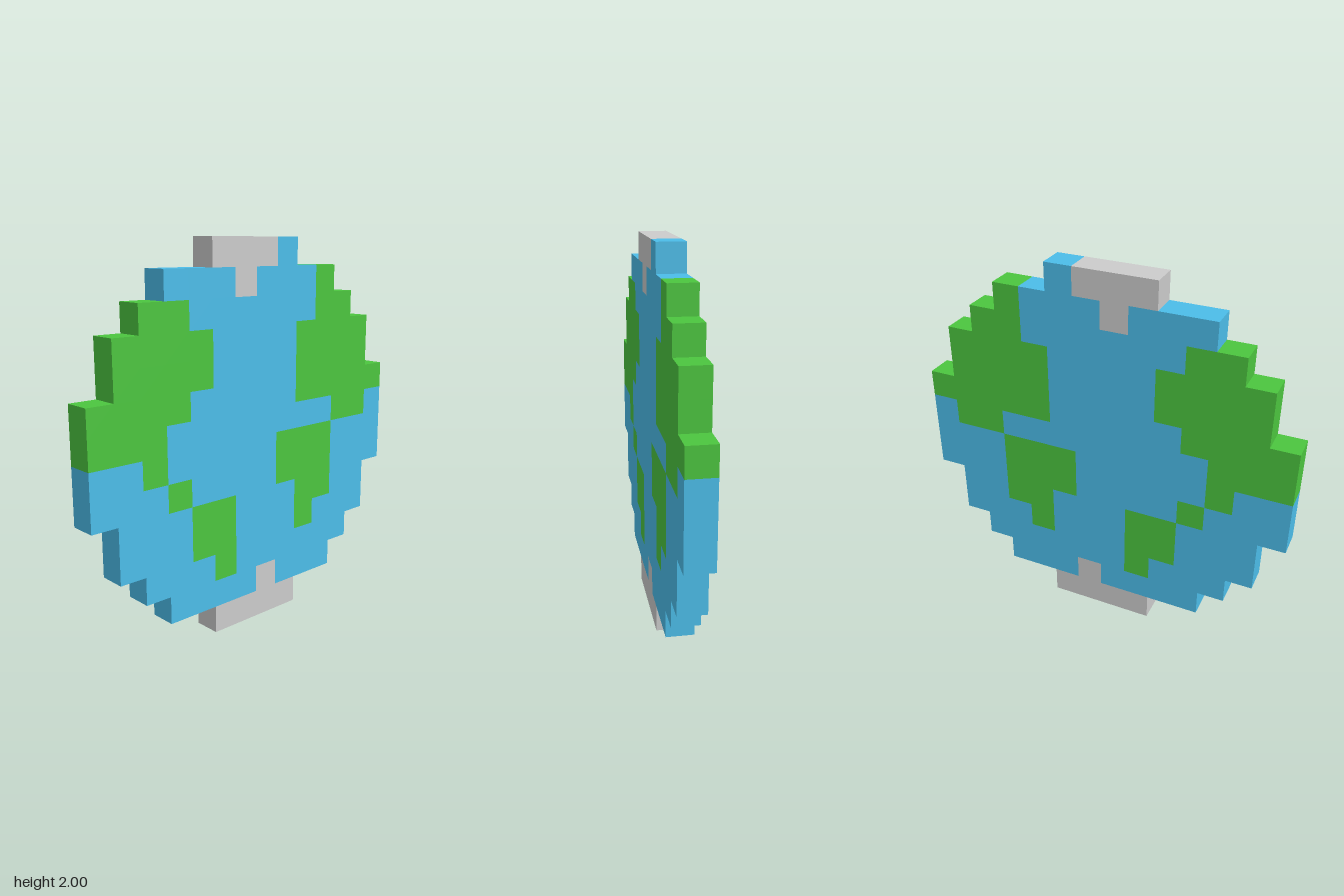
import * as THREE from 'three';
import { mergeGeometries } from 'three/addons/utils/BufferGeometryUtils.js';

// Pixel globe, top row first: W = ice, B = sea, G = land, . = empty
const ROWS = [
  '.....WWWB.....',
  '...BBBWBBBBG..',
  '..GGBBBBBBGG..',
  '.GGGGBBBBGGGG.',
  '.GGGGBBBBGGGG.',
  'GGGGBBBBBGGGGG',
  'GGGBBBBBBBBGGB',
  'BBGBBBBBGGGBBB',
  'BBBGBBBBGGGBBB',
  '.BBBGGBBBGGBB.',
  '.BBBGGBBBGBBB.',
  '..BBBGBBBBBB..',
  '...BBBBWBBB...',
  '.....WWWW.....',
];
// Row 1 spans eight cells, columns 3 to 10
ROWS[1] = '...BBBWBBBG...';

const N = 14;
const CELL = 2 / N;
const PARTS = {
  W: ['polarIce', 0xcccccc],
  B: ['sea', 0x4cbde9],
  G: ['land', 0x4cc53f],
};

const cellAt = (row, col) => ROWS[row]?.[col] ?? '.';

// One square side of a cell, pushed out along +z and then turned to face outward
function face(x, y, turnX, turnY) {
  return new THREE.PlaneGeometry(CELL, CELL)
    .translate(0, 0, CELL / 2)
    .rotateX(turnX)
    .rotateY(turnY)
    .translate(x, y, 0);
}

// All outer faces of the cells of one kind, without hidden inner walls
function buildPart(kind) {
  const faces = [];
  const q = Math.PI / 2;
  for (let row = 0; row < N; row++) {
    for (let col = 0; col < N; col++) {
      if (cellAt(row, col) !== kind) continue;
      const x = -1 + (col + 0.5) * CELL;
      const y = 2 - (row + 0.5) * CELL;
      faces.push(face(x, y, 0, 0), face(x, y, 0, Math.PI));
      if (cellAt(row, col + 1) === '.') faces.push(face(x, y, 0, q));
      if (cellAt(row, col - 1) === '.') faces.push(face(x, y, 0, -q));
      if (cellAt(row - 1, col) === '.') faces.push(face(x, y, -q, 0));
      if (cellAt(row + 1, col) === '.') faces.push(face(x, y, q, 0));
    }
  }
  return mergeGeometries(faces);
}

export function createModel() {
  const globe = new THREE.Group();
  globe.name = 'pixelGlobe';
  for (const [kind, [name, color]] of Object.entries(PARTS)) {
    const mesh = new THREE.Mesh(buildPart(kind), new THREE.MeshStandardMaterial({ color }));
    mesh.name = name;
    globe.add(mesh);
  }
  return globe;
}
